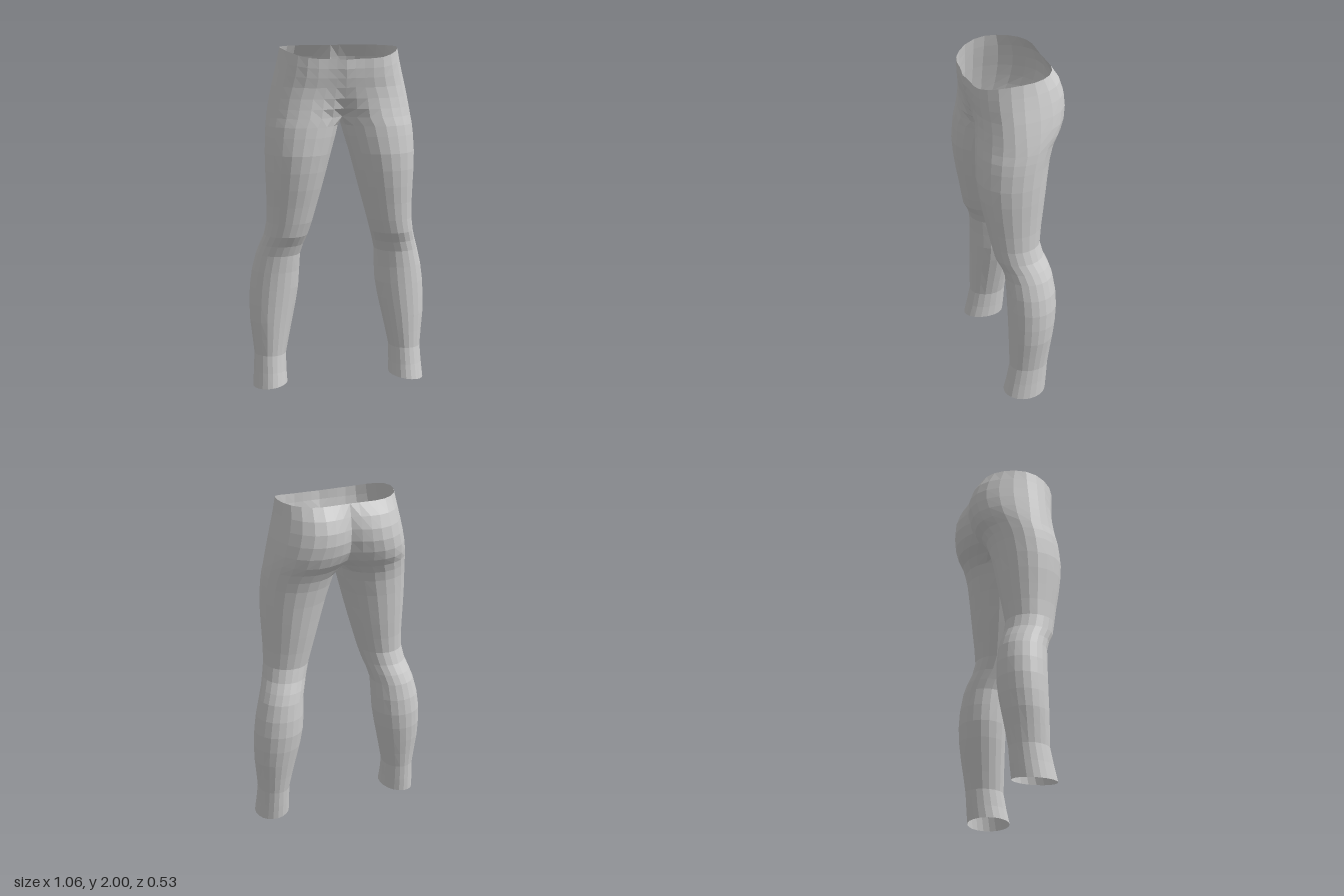
import * as THREE from 'three';

const OUTER = 16; // steps round the outside of a leg
const INNER = 4;  // steps along the inner thigh
const SPAN = 140; // degrees from the outer side to the start of the inner thigh

// Leg sections: y, inner x, outer x, front z, back z
const LEG = [
  [0.015, 0.315, 0.52, 0.165, -0.09], [0.10, 0.318, 0.512, 0.145, -0.098],
  [0.20, 0.318, 0.507, 0.125, -0.105], [0.30, 0.297, 0.517, 0.125, -0.12],
  [0.40, 0.275, 0.528, 0.125, -0.137], [0.50, 0.253, 0.53, 0.125, -0.152],
  [0.60, 0.236, 0.526, 0.126, -0.16], [0.70, 0.23, 0.512, 0.128, -0.157],
  [0.80, 0.226, 0.487, 0.134, -0.143], [0.86, 0.21, 0.467, 0.152, -0.125],
  [0.92, 0.19, 0.447, 0.183, -0.10], [1.0, 0.166, 0.433, 0.20, -0.083],
  [1.1, 0.138, 0.432, 0.218, -0.095], [1.2, 0.11, 0.435, 0.238, -0.11],
  [1.3, 0.083, 0.439, 0.254, -0.124], [1.4, 0.056, 0.44, 0.264, -0.138],
  [1.5, 0.026, 0.436, 0.26, -0.155], [1.56, 0.01, 0.431, 0.256, -0.172],
];

// Hip sections: y, peak x, outer x, front z, back z, centre front z, centre back z
const HIP = [
  [1.61, 0.20, 0.424, 0.25, -0.195, 0.13, -0.10],
  [1.66, 0.19, 0.415, 0.243, -0.23, 0.185, -0.16],
  [1.72, 0.18, 0.403, 0.237, -0.253, 0.22, -0.20],
  [1.79, 0.16, 0.388, 0.238, -0.266, 0.24, -0.216],
  [1.86, 0.15, 0.371, 0.246, -0.262, 0.253, -0.218],
  [1.93, 0.15, 0.355, 0.25, -0.238, 0.263, -0.208],
  [2.0, 0.15, 0.342, 0.25, -0.192, 0.264, -0.188],
];

const rad = THREE.MathUtils.degToRad;
const lerp = THREE.MathUtils.lerp;

// Closed oval ring, from the front round the outside to the inner thigh
function legRing([y, xi, xo, zf, zb], row) {
  const ring = [];
  const cx = (xi + xo) / 2, rx = (xo - xi) / 2, cz = (zf + zb) / 2, rz = (zf - zb) / 2;
  for (let k = 0; k < OUTER + INNER; k++) {
    const a = k <= OUTER
      ? rad(SPAN - 2 * SPAN * k / OUTER)
      : rad(-SPAN - (360 - 2 * SPAN) * (k - OUTER) / INNER);
    // The hem is a little lower on the outside
    const tilt = row === 0 ? -0.013 * Math.cos(a) : 0;
    ring.push([cx + rx * Math.cos(a), y + tilt, cz + rz * Math.sin(a)]);
  }
  return ring;
}

// Open arc, from centre front round the hip to centre back
function hipArc([y, px, xo, zf, zb, cf, cb]) {
  const ring = [], side = 0.03;
  for (let k = 0; k <= OUTER; k++) {
    const deg = SPAN - 2 * SPAN * k / OUTER;
    const front = deg > 0;
    const peak = front ? zf : zb, centre = front ? cf : cb;
    let x, z;
    if (Math.abs(deg) <= 90) {
      x = px + (xo - px) * Math.cos(rad(deg));
      z = side + (peak - side) * Math.abs(Math.sin(rad(deg)));
    } else {
      const s = (Math.abs(deg) - 90) / (SPAN - 90);
      x = px * (1 - s);
      z = lerp(peak, centre, s * s);
    }
    // The waistline dips at the front
    const dip = 0.06 * Math.max(0, z / 0.264) ** 2 * Math.max(0, (y - 1.75) / 0.25);
    ring.push([x, y - dip, z]);
  }
  return ring;
}

// Crotch ring: the lowest hip arc closed along the middle
function crotchRing() {
  const ring = hipArc(HIP[0]);
  const front = HIP[0][5], back = HIP[0][6];
  for (let k = 1; k < INNER; k++) {
    ring.push([0, 1.605, lerp(back, front, k / INNER)]);
  }
  return ring;
}

// Skin a stack of rings; sign -1 mirrors it to the other side
function skin(name, rings, closed, sign, material) {
  const n = rings[0].length, positions = [], index = [];
  for (const ring of rings) {
    for (const [x, y, z] of ring) positions.push(sign * x, y, z);
  }
  const quads = closed ? n : n - 1;
  for (let i = 0; i < rings.length - 1; i++) {
    for (let j = 0; j < quads; j++) {
      const a = i * n + j, b = i * n + (j + 1) % n, c = a + n, d = b + n;
      if (sign > 0) index.push(a, b, d, a, d, c);
      else index.push(a, d, b, a, c, d);
    }
  }
  const geometry = new THREE.BufferGeometry();
  geometry.setAttribute('position', new THREE.Float32BufferAttribute(positions, 3));
  geometry.setIndex(index);
  geometry.computeVertexNormals();
  const mesh = new THREE.Mesh(geometry, material);
  mesh.name = name;
  return mesh;
}

export function createModel() {
  const group = new THREE.Group();
  group.name = 'leggings';
  const material = new THREE.MeshStandardMaterial({
    color: 0xcccccc, flatShading: true, side: THREE.DoubleSide,
  });
  const legRings = [...LEG.map(legRing), crotchRing()];
  const hipRings = HIP.map(hipArc);
  for (const [label, sign] of [['left', 1], ['right', -1]]) {
    group.add(skin(label + 'Leg', legRings, true, sign, material));
    group.add(skin(label + 'Hip', hipRings, false, sign, material));
  }
  return group;
}
